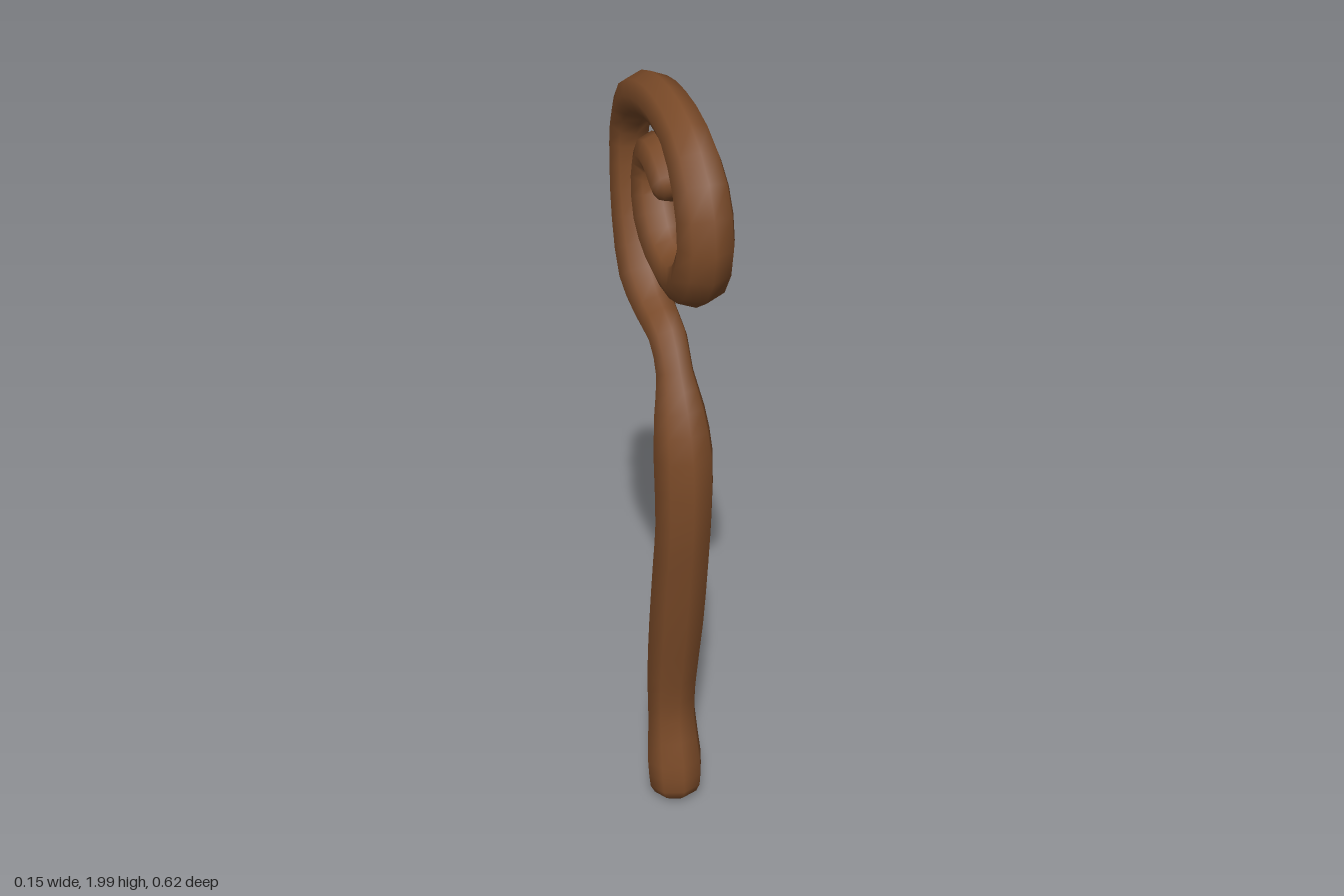
import * as THREE from 'three';

// Centreline of the staff, foot to curl tip: [z, y, radius]
const PATH = [
  [0.065, 0.05, 0.067], [0.055, 0.125, 0.07], [0.032, 0.26, 0.061], [0.038, 0.4, 0.065],
  [0.07, 0.6, 0.07], [0.1, 0.8, 0.07], [0.115, 0.92, 0.069], [0.11, 1.1, 0.071],
  [0.083, 1.21, 0.06], [0.05, 1.295, 0.044], [0.005, 1.365, 0.045], [-0.085, 1.397, 0.05],
  [-0.168, 1.455, 0.057], [-0.235, 1.58, 0.052], [-0.262, 1.71, 0.047], [-0.255, 1.81, 0.047],
  [-0.195, 1.895, 0.053], [-0.1, 1.938, 0.053], [0.005, 1.945, 0.053], [0.12, 1.915, 0.056],
  [0.21, 1.835, 0.062], [0.245, 1.72, 0.064], [0.205, 1.62, 0.064], [0.11, 1.568, 0.052],
  [0.005, 1.587, 0.053], [-0.065, 1.655, 0.056], [-0.1, 1.745, 0.05], [-0.075, 1.807, 0.05],
  [-0.02, 1.812, 0.052], [0.035, 1.772, 0.05],
];
const SIDES = 8;

// Eight-sided tube lying in the YZ plane, with varying radius and rounded ends
function taperedTube(path, steps) {
  const curve = new THREE.CatmullRomCurve3(path.map(([z, y]) => new THREE.Vector3(0, y, z)));
  const radii = new THREE.CatmullRomCurve3(path.map((p, i) => new THREE.Vector3(i, p[2], 0)));
  const rings = [];
  for (let i = 0; i <= steps; i++) {
    const t = i / steps;
    rings.push({ p: curve.getPoint(t), d: curve.getTangent(t), r: radii.getPoint(t).y });
  }
  // Each cap is two shrinking rings pushed outward
  const cap = (ring, sign) => [[0.32, 0.85], [0.55, 0.55], [0.6, 0.001]].map(([push, scale]) => ({
    p: ring.p.clone().addScaledVector(ring.d, sign * push * ring.r), d: ring.d, r: ring.r * scale,
  }));
  const all = [...cap(rings[0], -1).reverse(), ...rings, ...cap(rings[steps], 1)];

  const positions = [];
  const index = [];
  all.forEach(({ p, d, r }, i) => {
    for (let k = 0; k < SIDES; k++) {
      const a = (k / SIDES) * Math.PI * 2;
      const n = Math.cos(a) * r;
      positions.push(Math.sin(a) * r * 1.06, p.y + d.z * n, p.z - d.y * n);
      if (i === 0) continue;
      const k2 = (k + 1) % SIDES;
      const a0 = (i - 1) * SIDES + k, b0 = (i - 1) * SIDES + k2;
      const a1 = i * SIDES + k, b1 = i * SIDES + k2;
      index.push(a0, a1, b0, b0, a1, b1);
    }
  });
  // Make the winding face outward whatever the frame's handedness
  const [A, B, C] = [index[300], index[301], index[302]].map((v) => new THREE.Vector3().fromArray(positions, v * 3));
  const centre = all[Math.floor(index[300] / SIDES)].p;
  const normal = B.clone().sub(A).cross(C.clone().sub(A));
  if (normal.dot(A.clone().add(C).multiplyScalar(0.5).sub(centre)) < 0) index.reverse();

  const geometry = new THREE.BufferGeometry();
  geometry.setAttribute('position', new THREE.Float32BufferAttribute(positions, 3));
  geometry.setIndex(index);
  geometry.computeVertexNormals();
  return geometry;
}

export function createModel() {
  const group = new THREE.Group();
  group.name = 'curledStaff';
  const wood = new THREE.MeshStandardMaterial({ color: 0x7a4a28 });
  const staff = new THREE.Mesh(taperedTube(PATH, (PATH.length - 1) * 2), wood);
  staff.name = 'staff';
  group.add(staff);
  return group;
}
